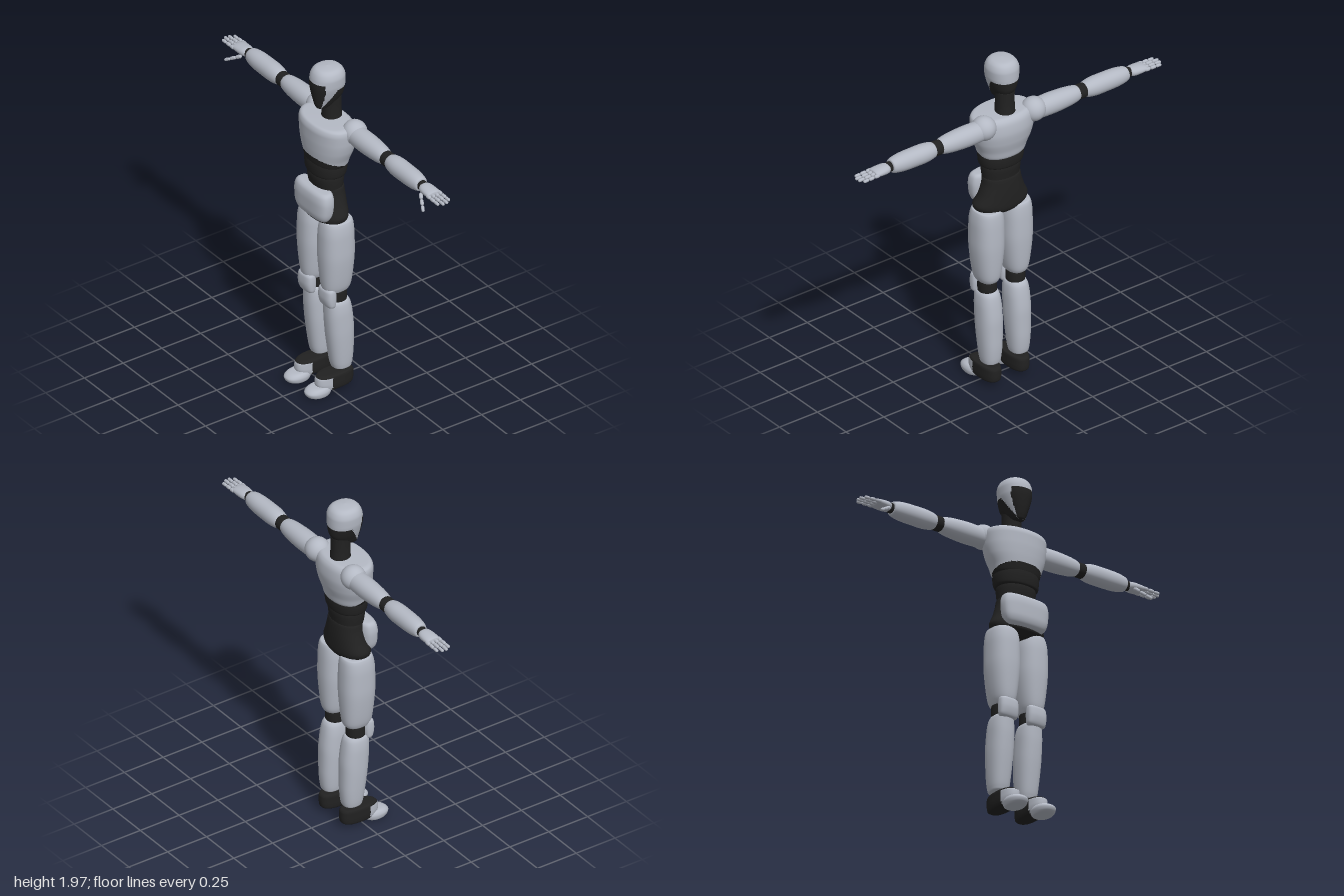
import * as THREE from 'three';

const light = new THREE.MeshStandardMaterial({ color: 0xb4b9c4 });
light.name = 'light grey shell';
const dark = new THREE.MeshStandardMaterial({ color: 0x212121 });
dark.name = 'black joint';

// Smooth, overshoot-free value of column k at parameter t along the sections
function sample(sections, k, t) {
  const n = sections.length;
  const i = Math.min(Math.floor(t), n - 2);
  const f = t - i;
  const v = (j) => sections[j][k];
  const slope = (j) => {
    if (j === 0 || j === n - 1) return 0;
    const a = v(j) - v(j - 1), b = v(j + 1) - v(j);
    return a * b <= 0 ? 0 : (2 * a * b) / (a + b);
  };
  const f2 = f * f, f3 = f2 * f;
  return (2 * f3 - 3 * f2 + 1) * v(i) + (f3 - 2 * f2 + f) * slope(i)
    + (3 * f2 - 2 * f3) * v(i + 1) + (f3 - f2) * slope(i + 1);
}

// Closed solid from sections [y, halfWidth, zFront, zBack], bottom to top.
// isDark(x, y, z) optionally paints faces with the dark material.
function loft(name, sections, material, { power = 2.2, seg = 40, steps = 6, isDark } = {}) {
  const end = (s, dy) => [s[0] + dy, 0, (s[2] + s[3]) / 2, (s[2] + s[3]) / 2];
  const all = [end(sections[0], -0.003), ...sections, end(sections[sections.length - 1], 0.003)];
  const rows = (all.length - 1) * steps;
  const pos = [];
  const faces = [[], []];
  for (let j = 0; j <= rows; j++) {
    const [y, rx, zf, zb] = [0, 1, 2, 3].map((k) => sample(all, k, j / steps));
    for (let i = 0; i < seg; i++) {
      const a = (i / seg) * Math.PI * 2;
      const bend = (c) => Math.sign(c) * Math.pow(Math.abs(c), 2 / power);
      pos.push(rx * bend(Math.sin(a)), y, (zf + zb) / 2 + ((zf - zb) / 2) * bend(Math.cos(a)));
    }
  }
  for (let j = 0; j < rows; j++) {
    for (let i = 0; i < seg; i++) {
      const a = j * seg + i, b = j * seg + ((i + 1) % seg), c = b + seg, d = a + seg;
      const mid = [0, 1, 2].map((k) => (pos[a * 3 + k] + pos[c * 3 + k]) / 2);
      faces[isDark && isDark(...mid) ? 1 : 0].push(a, b, c, a, c, d);
    }
  }
  const g = new THREE.BufferGeometry();
  g.setAttribute('position', new THREE.Float32BufferAttribute(pos, 3));
  g.setIndex([...faces[0], ...faces[1]]);
  g.computeVertexNormals();
  if (isDark) {
    g.addGroup(0, faces[0].length, 0);
    g.addGroup(faces[0].length, faces[1].length, 1);
  }
  const mesh = new THREE.Mesh(g, isDark ? [light, dark] : material);
  mesh.name = name;
  return mesh;
}

// Rounded rod between two points
function rod(name, a, b, r) {
  const dir = b.clone().sub(a);
  const mesh = new THREE.Mesh(new THREE.CapsuleGeometry(r, Math.max(dir.length() - 2 * r, 0.001), 4, 10), light);
  mesh.position.copy(a).lerp(b, 0.5);
  mesh.quaternion.setFromUnitVectors(new THREE.Vector3(0, 1, 0), dir.normalize());
  mesh.name = name;
  return mesh;
}

// Three jointed segments
function finger(name, a, b, r) {
  const g = new THREE.Group();
  g.name = name;
  for (let i = 0; i < 3; i++) {
    g.add(rod('fingerSegment', a.clone().lerp(b, i / 3), a.clone().lerp(b, (i + 1) / 3), r - i * 0.001));
  }
  return g;
}

function makeArm(s) {
  const arm = new THREE.Group();
  arm.name = s > 0 ? 'leftArm' : 'rightArm';
  const Y = 1.607, Z = -0.093;
  // Lofts run along the arm: [distance, half height, half depth]
  const limb = (name, rows, mat) => {
    const m = loft(name, rows.map(([d, h, w]) => [d, h, w ?? h, -(w ?? h)]), mat, { power: 2.1, seg: 28, steps: 5 });
    m.rotation.z = -s * Math.PI / 2;
    m.position.set(0, Y, Z);
    arm.add(m);
  };
  const ball = new THREE.Mesh(new THREE.SphereGeometry(0.068, 32, 24), light);
  ball.name = 'shoulder';
  ball.position.set(s * 0.164, 1.616, -0.096);
  arm.add(ball);
  limb('upperArm', [[0.14, 0.045], [0.2, 0.056], [0.28, 0.058], [0.38, 0.053], [0.44, 0.044], [0.457, 0.036]], light);
  limb('elbow', [[0.445, 0.036], [0.46, 0.041], [0.49, 0.041], [0.505, 0.036]], dark);
  limb('forearm', [[0.495, 0.037], [0.515, 0.046], [0.58, 0.053], [0.68, 0.052], [0.75, 0.045], [0.777, 0.034]], light);
  limb('wrist', [[0.77, 0.027], [0.79, 0.028], [0.803, 0.024]], dark);
  limb('palm', [[0.795, 0.022, 0.027], [0.82, 0.026, 0.04], [0.86, 0.023, 0.043], [0.893, 0.014, 0.042]], light);
  [0.982, 0.998, 1.0, 0.985].forEach((tip, i) => {
    const z = -0.129 + i * 0.024;
    arm.add(finger('finger', new THREE.Vector3(s * 0.875, 1.606, z), new THREE.Vector3(s * tip, 1.602, z), 0.011));
  });
  arm.add(finger('thumb', new THREE.Vector3(s * 0.815, 1.588, -0.06), new THREE.Vector3(s * 0.905, 1.534, -0.014), 0.011));
  return arm;
}

function makeLeg(s) {
  const leg = new THREE.Group();
  leg.name = s > 0 ? 'leftLeg' : 'rightLeg';
  leg.position.x = s * 0.093;
  leg.add(
    loft('thigh', [[0.625, 0.045, 0.04, -0.085], [0.65, 0.06, 0.055, -0.105], [0.74, 0.076, 0.066, -0.117],
      [0.87, 0.087, 0.073, -0.124], [0.98, 0.086, 0.071, -0.122], [1.05, 0.077, 0.06, -0.115], [1.066, 0.068, 0.05, -0.105]],
    light, { power: 2.4 }),
    loft('kneeJoint', [[0.545, 0.045, 0.02, -0.075], [0.58, 0.05, 0.02, -0.085], [0.61, 0.05, 0.02, -0.085], [0.645, 0.045, 0.02, -0.075]], dark),
    loft('kneeCap', [[0.542, 0.046, 0.045, 0.005], [0.56, 0.057, 0.057, 0], [0.6, 0.059, 0.064, -0.004],
      [0.64, 0.056, 0.06, 0], [0.655, 0.045, 0.045, 0.008]], light, { power: 2.8 }),
    loft('shin', [[0.137, 0.046, -0.008, -0.108], [0.16, 0.053, 0.002, -0.116], [0.26, 0.062, 0.018, -0.124],
      [0.38, 0.067, 0.032, -0.124], [0.48, 0.066, 0.039, -0.115], [0.55, 0.057, 0.04, -0.1], [0.566, 0.045, 0.03, -0.085]],
    light, { power: 2.4 }),
    // Shoe with a light instep
    loft('foot', [[0.028, 0.042, 0.07, -0.105], [0.04, 0.05, 0.09, -0.124], [0.07, 0.053, 0.103, -0.128],
      [0.1, 0.053, 0.1, -0.127], [0.115, 0.05, 0.085, -0.118], [0.119, 0.042, 0.07, -0.105]],
    light, { power: 2.5, seg: 64, isDark: (x, y, z) => z < 0.03 || y > 0.105 }),
    loft('toeCap', [[0.004, 0.045, 0.14, 0.035], [0.014, 0.053, 0.161, 0.02], [0.032, 0.056, 0.168, 0.014],
      [0.048, 0.051, 0.155, 0.02], [0.058, 0.038, 0.125, 0.035]], light),
  );
  return leg;
}

export function createModel() {
  const model = new THREE.Group();
  model.name = 'robot';

  // Head with a dark face mask and a dark nape
  const head = loft('head', [[1.726, 0.026, 0.03, -0.02], [1.745, 0.042, 0.04, -0.07], [1.775, 0.056, 0.048, -0.112],
    [1.81, 0.07, 0.055, -0.128], [1.87, 0.085, 0.062, -0.133], [1.91, 0.087, 0.058, -0.132],
    [1.945, 0.076, 0.045, -0.12], [1.962, 0.055, 0.025, -0.098], [1.967, 0.03, 0, -0.07]], light, {
    power: 2.2, seg: 96, steps: 12,
    isDark: (x, y, z) => {
      const mask = y < 1.895 && z > 0.022 && Math.abs(x) < 0.07;
      const nape = z < 0.02 && y < Math.min(1.85, 1.757 + (0.01 - z) * 1.7);
      return mask || nape;
    },
  });
  const neck = loft('neck', [[1.62, 0.056, -0.005, -0.122], [1.66, 0.052, -0.01, -0.118], [1.72, 0.05, -0.01, -0.115],
    [1.78, 0.052, -0.005, -0.115]], dark);

  // Chest shell over an arched dark abdomen
  const chest = loft('chest', [[1.388, 0.12, 0.06, -0.115], [1.4, 0.135, 0.069, -0.128], [1.44, 0.149, 0.076, -0.138], [1.5, 0.172, 0.083, -0.155],
    [1.56, 0.184, 0.086, -0.163], [1.61, 0.187, 0.086, -0.158], [1.636, 0.182, 0.08, -0.147], [1.65, 0.155, 0.065, -0.125]],
  light, {
    power: 2.2, seg: 96, steps: 12,
    isDark: (x, y, z) => y < 1.385 + 0.062 * THREE.MathUtils.clamp((z + 0.1) / 0.17, 0, 1),
  });
  const abdomen = loft('abdomen', [[1.325, 0.113, 0.058, -0.11], [1.335, 0.125, 0.069, -0.12], [1.38, 0.131, 0.073, -0.126],
    [1.42, 0.125, 0.066, -0.12]], dark);
  const waist = loft('waist', [[1.22, 0.1, 0.045, -0.1], [1.26, 0.108, 0.055, -0.106], [1.31, 0.112, 0.062, -0.112],
    [1.34, 0.105, 0.055, -0.105]], dark);

  // Pelvis, flaring over the hips, with its front plate
  const pelvis = loft('pelvis', [[1.032, 0.05, 0.03, -0.07], [1.05, 0.12, 0.06, -0.1], [1.07, 0.158, 0.075, -0.11], [1.095, 0.165, 0.072, -0.113],
    [1.15, 0.138, 0.055, -0.114], [1.21, 0.117, 0.05, -0.112], [1.255, 0.105, 0.045, -0.105]], dark);
  const plate = loft('pelvisPlate', [[1.073, 0.1, 0.07, 0.02], [1.09, 0.125, 0.094, 0.005], [1.13, 0.14, 0.105, -0.004],
    [1.19, 0.146, 0.106, -0.008], [1.235, 0.138, 0.098, -0.004], [1.252, 0.115, 0.078, 0.01]], light, { power: 2.9 });

  model.add(head, neck, chest, abdomen, waist, pelvis, plate);
  for (const s of [1, -1]) model.add(makeArm(s), makeLeg(s));
  return model;
}
